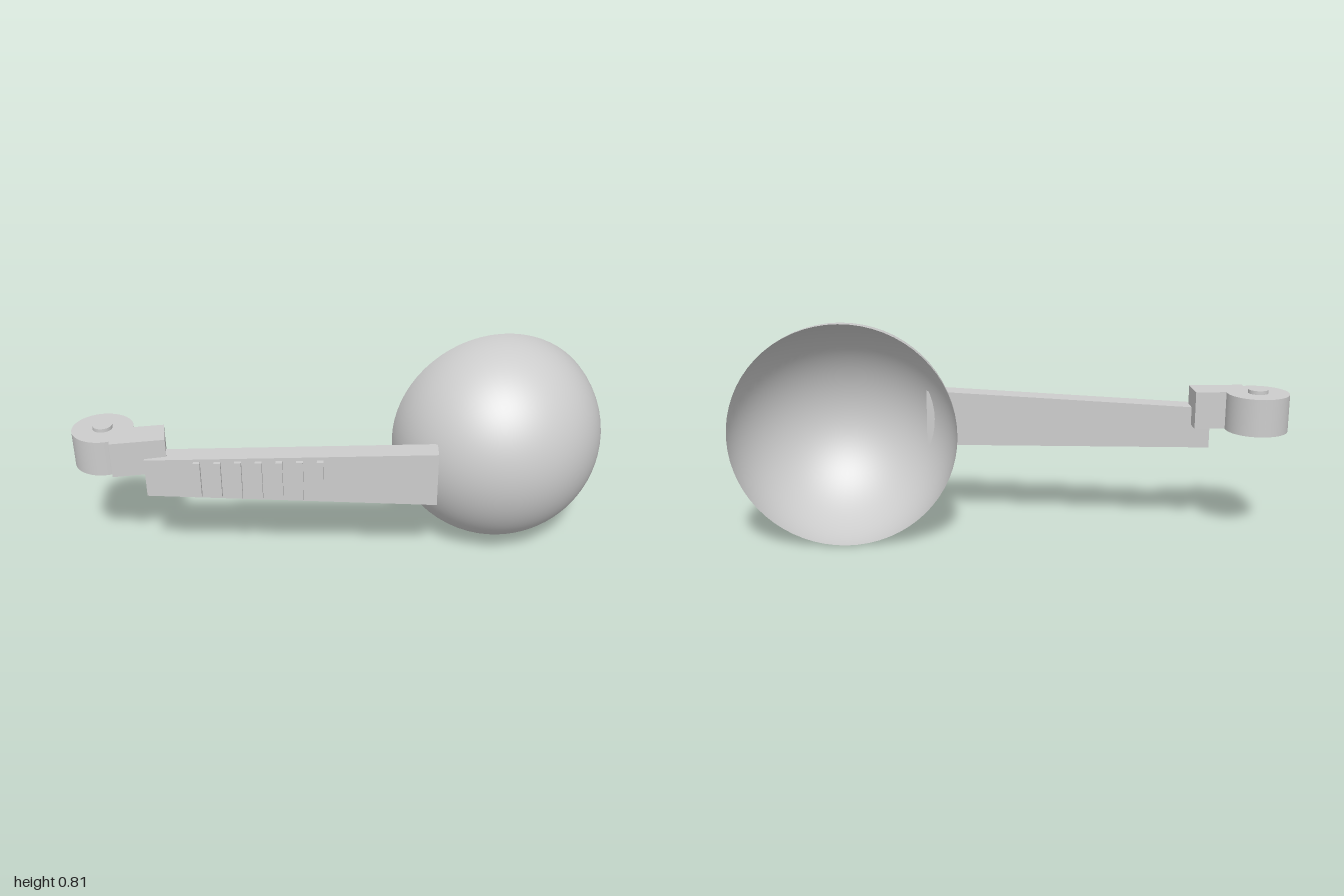
import * as THREE from 'three';

export function createModel() {
  const model = new THREE.Group();
  const grey = new THREE.MeshStandardMaterial({ color: 0xcccccc });
  grey.name = 'light grey';
  grey.side = THREE.DoubleSide;

  function add(parent, name, geometry, x = 0, y = 0, z = 0) {
    const mesh = new THREE.Mesh(geometry, grey);
    mesh.name = name;
    mesh.position.set(x, y, z);
    parent.add(mesh);
    return mesh;
  }

  // Hollow half-sphere cup, open towards the back
  const cup = new THREE.SphereGeometry(0.407, 64, 32, 0, Math.PI * 2, 0, Math.PI / 2);
  cup.rotateX(Math.PI / 2);
  add(model, 'cup', cup, 0.592, 0.408, -0.148);

  // Hinge barrel, its pin and the block joining it to the arm
  add(model, 'hingeBarrel', new THREE.CylinderGeometry(0.111, 0.111, 0.135, 48), -0.889, 0.488, -0.149);
  add(model, 'hingePin', new THREE.CylinderGeometry(0.036, 0.036, 0.16, 32), -0.889, 0.489, -0.149);
  add(model, 'hingeBlock', new THREE.BoxGeometry(0.196, 0.135, 0.115), -0.767, 0.488, -0.078);

  // Arm swings forward towards the cup and grows taller along its length
  const arm = new THREE.Group();
  arm.name = 'arm';
  arm.position.set(-0.75, 0.41, -0.01);
  arm.rotation.y = -0.186;
  model.add(arm);

  const length = 1.053, thickness = 0.08;
  const profile = new THREE.Shape([
    new THREE.Vector2(0, -0.074),
    new THREE.Vector2(length, -0.105),
    new THREE.Vector2(length, 0.105),
    new THREE.Vector2(0, 0.074),
  ]);
  const bar = new THREE.ExtrudeGeometry(profile, { depth: thickness, bevelEnabled: false });
  add(arm, 'armBar', bar, 0, 0, -thickness);

  // Grip ridges on the front of the arm
  for (let i = 0; i < 7; i++) {
    const height = 0.14 + i * 0.003;
    add(arm, 'gripRidge', new THREE.BoxGeometry(0.024, height, 0.03), 0.189 + i * 0.0737, 0, 0);
  }

  return model;
}
